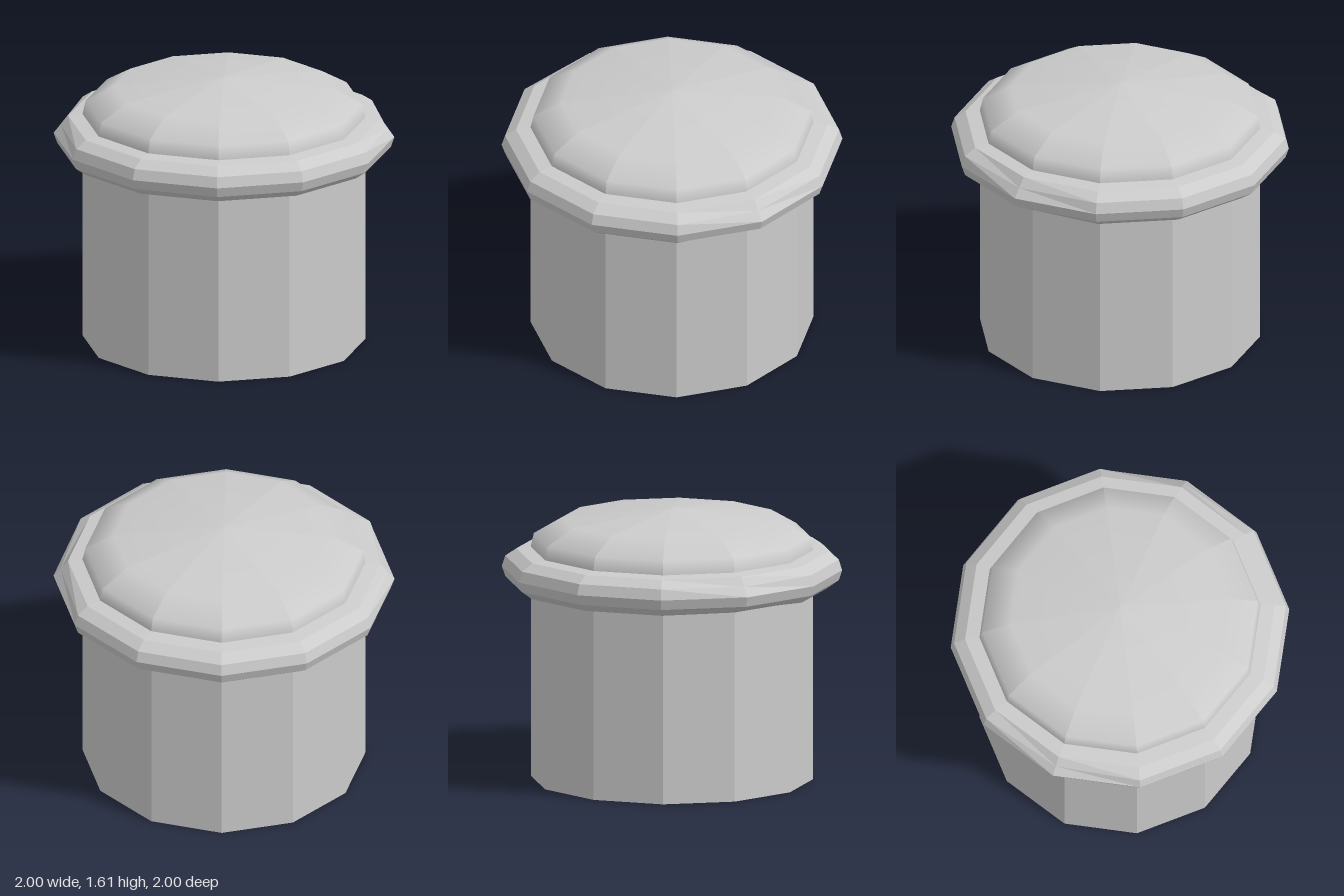
import * as THREE from 'three';

const SIDES = 12;
const material = () => new THREE.MeshStandardMaterial({ color: 0xcccccc });
const lathe = (profile) =>
  new THREE.LatheGeometry(profile.map(([r, y]) => new THREE.Vector2(r, y)), SIDES);

function add(group, name, geometry, flat) {
  const mesh = new THREE.Mesh(geometry, material());
  mesh.material.flatShading = flat;
  mesh.name = name;
  group.add(mesh);
}

// Bulging collar: full bevels at front and back, simpler ones at the sides
function collarGeometry() {
  const profile = [
    [0.8, 1.13], [0.83, 1.13], [0.915, 1.143], [0.98, 1.19], [1, 1.25],
    [0.98, 1.313], [0.915, 1.357], [0.8, 1.372],
  ];
  const geo = lathe(profile);
  const pos = geo.attributes.position;
  const n = profile.length;
  for (let i = 0; i <= SIDES; i++) {
    const angle = (i / SIDES) * Math.PI * 2;
    if (Math.abs(Math.cos(angle)) > 0.6 || Math.abs(Math.sin(angle)) < 0.6) continue;
    if (Math.abs(Math.cos(angle)) > 0.4) continue;
    // flatten two bevel points onto the line between their neighbours
    for (const j of [2, 5]) {
      const r = (profile[j - 1][0] + profile[j + 1][0]) / 2;
      const y = (profile[j - 1][1] + profile[j + 1][1]) / 2;
      pos.setXYZ(i * n + j, r * Math.sin(angle), y, r * Math.cos(angle));
    }
  }
  return geo;
}

// Domed cap: smooth from rim to peak, faceted around
function capGeometry() {
  const geo = lathe([[0.83, 1.34], [0.83, 1.37], [0.812, 1.45], [0.648, 1.545], [0, 1.61]]).toNonIndexed();
  const pos = geo.attributes.position;
  const nor = geo.attributes.normal;
  for (let t = 0; t < pos.count; t += 3) {
    let cx = 0, cz = 0;
    for (let k = t; k < t + 3; k++) {
      cx += pos.getX(k);
      cz += pos.getZ(k);
    }
    // turn each normal to the middle of its wedge
    const step = (Math.PI * 2) / SIDES;
    const mid = (Math.floor(Math.atan2(cx, cz) / step) + 0.5) * step;
    for (let k = t; k < t + 3; k++) {
      const out = Math.hypot(nor.getX(k), nor.getZ(k));
      nor.setXYZ(k, out * Math.sin(mid), nor.getY(k), out * Math.cos(mid));
    }
  }
  return geo;
}

export function createModel() {
  const group = new THREE.Group();
  group.name = 'cappedBarrel';

  // Straight barrel with a closed base
  const barrel = new THREE.CylinderGeometry(0.83, 0.83, 1.25, SIDES);
  barrel.translate(0, 0.625, 0);
  add(group, 'barrel', barrel, true);

  add(group, 'collar', collarGeometry(), true);
  add(group, 'cap', capGeometry(), false);
  return group;
}
